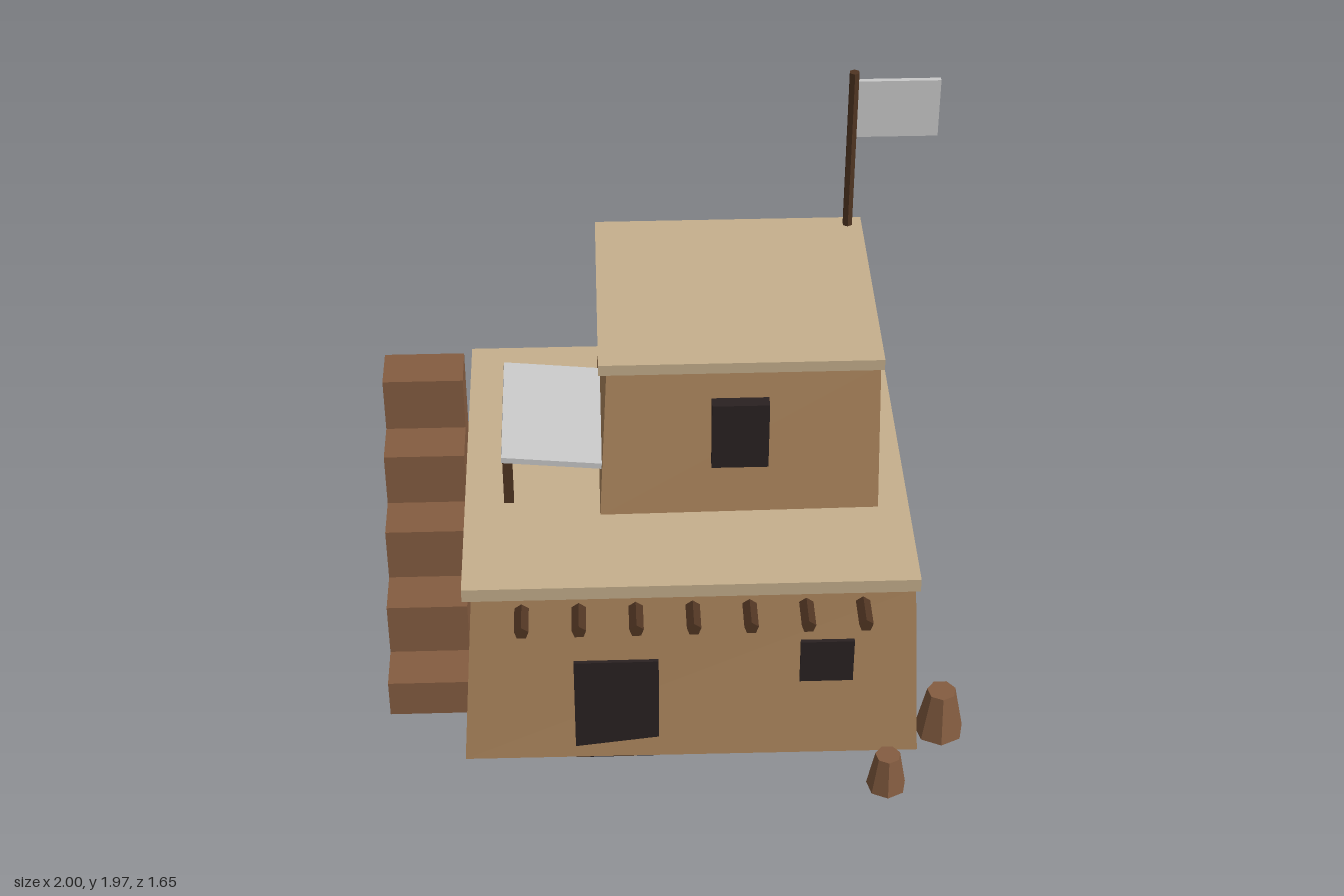
import * as THREE from 'three';

const mat = (name, color) => {
  const m = new THREE.MeshStandardMaterial({ color, flatShading: true });
  m.name = name;
  return m;
};

export function createModel() {
  const model = new THREE.Group();
  model.name = 'adobeHouse';

  const clay = mat('clay wall', 0xb0895f);
  const plaster = mat('pale plaster', 0xc6b08d);
  const brick = mat('brown brick', 0x855d41);
  const wood = mat('dark wood', 0x503522);
  const dark = mat('dark opening', 0x2a2121);
  const cloth = mat('grey cloth', 0xcacaca);

  const add = (name, geometry, material, parent = model) => {
    const mesh = new THREE.Mesh(geometry, material);
    mesh.name = name;
    parent.add(mesh);
    return mesh;
  };

  const group = (name) => {
    const g = new THREE.Group();
    g.name = name;
    model.add(g);
    return g;
  };

  // Box given by its minimum and maximum along each axis
  const box = (name, [x0, x1], [y0, y1], [z0, z1], material, parent) => {
    const mesh = add(name, new THREE.BoxGeometry(x1 - x0, y1 - y0, z1 - z0), material, parent);
    mesh.position.set((x0 + x1) / 2, (y0 + y1) / 2, (z0 + z1) / 2);
    return mesh;
  };

  // Leaning walls: corners run back left, back right, front left, front right as [x, z]
  const walls = (name, y0, y1, bottom, top) => {
    const geometry = new THREE.BoxGeometry(1, 1, 1);
    const p = geometry.attributes.position;
    for (let i = 0; i < p.count; i++) {
      const corner = (p.getZ(i) > 0 ? 2 : 0) + (p.getX(i) > 0 ? 1 : 0);
      const up = p.getY(i) > 0;
      const [x, z] = (up ? top : bottom)[corner];
      p.setXYZ(i, x, up ? y1 : y0, z);
    }
    geometry.computeVertexNormals();
    return add(name, geometry, clay);
  };

  // Lower storey and its roof
  walls('lowerWalls', 0.005, 0.71,
    [[-0.74, -0.815], [0.82, -0.825], [-0.73, 0.591], [0.825, 0.599]],
    [[-0.68, -0.775], [0.785, -0.775], [-0.68, 0.57], [0.785, 0.57]]);
  box('lowerRoof', [-0.71, 0.8], [0.705, 0.755], [-0.787, 0.576], plaster);

  // Upper storey and its roof
  walls('upperWalls', 0.75, 1.33,
    [[-0.25, -0.7], [0.7, -0.69], [-0.25, 0.2], [0.695, 0.19]],
    [[-0.22, -0.66], [0.68, -0.66], [-0.22, 0.165], [0.68, 0.165]]);
  box('upperRoof', [-0.247, 0.69], [1.325, 1.365], [-0.683, 0.185], plaster);

  // Door and windows
  box('door', [-0.35, -0.065], [0, 0.435], [0.55, 0.591], dark);
  box('lowerWindow', [0.41, 0.59], [0.33, 0.505], [0.545, 0.591], dark);
  box('upperWindow', [0.125, 0.315], [0.96, 1.215], [0.165, 0.218], dark);

  // Roof beam ends
  const beams = group('beams');
  for (let i = 0; i < 7; i++) {
    const beam = add('beam', new THREE.CylinderGeometry(0.025, 0.025, 0.17, 5), wood, beams);
    beam.rotation.x = -Math.PI / 2;
    beam.position.set(-0.515 + i * 0.1877, 0.66, 0.603);
  }

  // Outside stairs climbing towards the back
  const stairs = group('stairs');
  for (let i = 0; i < 5; i++) {
    const z = 0.355 - i * 0.165;
    box('step', [-1, -0.72], [i * 0.064, 0.145 + i * 0.204], [z - 0.165, z], brick, stairs);
  }

  // Awning on two posts
  const awning = group('awning');
  const sheet = add('awningSheet', new THREE.BoxGeometry(0.37, 0.022, 0.55), cloth, awning);
  sheet.position.set(-0.395, 0.931, -0.136);
  sheet.rotation.z = -0.1;
  for (const z of [-0.39, 0.11]) {
    box('awningPost', [-0.576, -0.543], [0.75, 0.94], [z - 0.016, z + 0.016], wood, awning);
  }

  // Flag and pole
  const pole = add('flagPole', new THREE.CylinderGeometry(0.018, 0.018, 0.64, 6), wood);
  pole.position.set(0.64, 1.65, -0.64);
  box('flag', [0.65, 0.935], [1.722, 1.938], [-0.649, -0.631], cloth);

  // Tapered pots by the front corner
  const pots = group('pots');
  for (const [x, z, bottom, top, h] of [[0.913, 0.493, 0.086, 0.05, 0.18], [0.702, 0.758, 0.068, 0.043, 0.14]]) {
    const pot = add('pot', new THREE.CylinderGeometry(top, bottom, h, 7), brick, pots);
    pot.position.set(x, h / 2, z);
  }

  return model;
}
